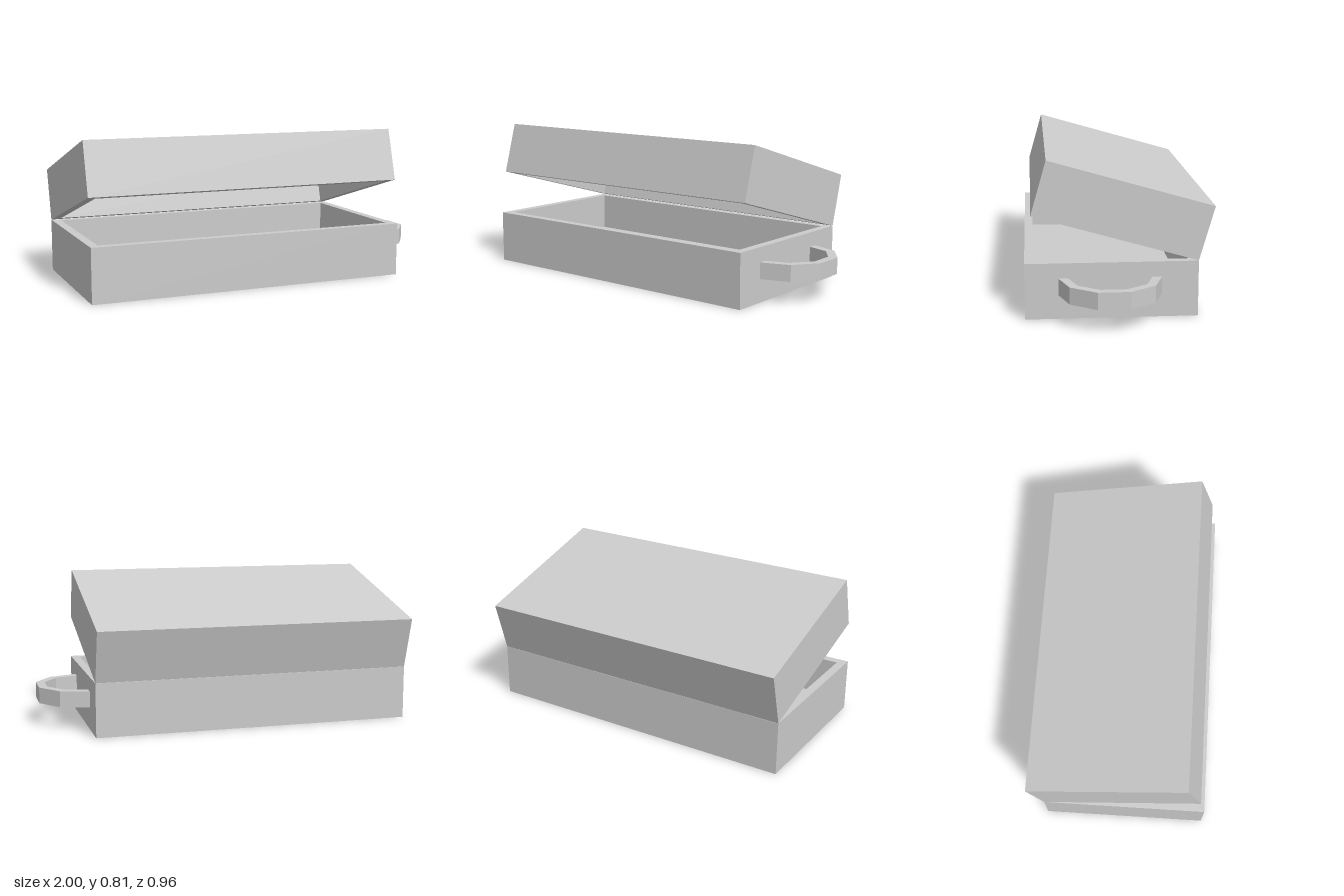
import * as THREE from 'three';

const W = 1.752, D = 0.88, H = 0.29, WALL = 0.047, FLOOR = 0.078;
const material = new THREE.MeshStandardMaterial({ color: 0xcccccc, flatShading: true });

// Open-topped tray: rectangular loops run up the outside, over the rim and down to the floor
function trayGeometry() {
  const corners = [[1, 1], [1, -1], [-1, -1], [-1, 1]];
  const loops = [[0, 0], [0, H], [WALL, H], [WALL, FLOOR]]; // [inset, height]
  const positions = [];
  for (const [inset, y] of loops) {
    for (const [sx, sz] of corners) {
      positions.push(sx * (W / 2 - inset), y, sz * (D / 2 - inset));
    }
  }
  const index = [0, 2, 1, 0, 3, 2]; // underside
  for (let i = 0; i < loops.length - 1; i++) {
    for (let j = 0; j < 4; j++) {
      const a = i * 4 + j, b = i * 4 + (j + 1) % 4;
      index.push(a, b, b + 4, a, b + 4, a + 4);
    }
  }
  const f = (loops.length - 1) * 4;
  index.push(f, f + 1, f + 2, f, f + 2, f + 3); // inner floor
  const g = new THREE.BufferGeometry();
  g.setAttribute('position', new THREE.Float32BufferAttribute(positions, 3));
  g.setIndex(index);
  const flat = g.toNonIndexed();
  flat.computeVertexNormals();
  return flat;
}

// Half of a ten-sided ring, lying flat
function handleGeometry(outer, inner, height) {
  const points = [];
  const arc = (r, dir) => {
    for (let i = 0; i <= 5; i++) {
      const a = dir * (-Math.PI / 2 + i * Math.PI / 5);
      points.push(new THREE.Vector2(r * Math.cos(a), r * Math.sin(a)));
    }
  };
  arc(outer, 1);
  arc(inner, -1);
  const g = new THREE.ExtrudeGeometry(new THREE.Shape(points), { depth: height, bevelEnabled: false });
  return g.rotateX(Math.PI / 2);
}

function part(name, geometry) {
  const mesh = new THREE.Mesh(geometry, material);
  mesh.name = name;
  return mesh;
}

export function createModel() {
  const model = new THREE.Group();
  model.name = 'hingedBox';
  const centreX = -1 + W / 2;

  // Base tray
  const base = part('base', trayGeometry());
  base.position.set(centreX, 0, 0.04);

  // Lid: the same tray upside down, swung open about the back edge
  const hinge = new THREE.Group();
  hinge.name = 'lidHinge';
  hinge.position.set(centreX, H + 0.001, 0.04 - D / 2);
  hinge.rotation.x = THREE.MathUtils.degToRad(-16);
  const lid = part('lid', trayGeometry());
  lid.rotation.x = Math.PI;
  lid.position.set(0, H, D / 2);
  hinge.add(lid);

  // Side handle
  const handle = part('handle', handleGeometry(0.262, 0.213, 0.087));
  handle.position.set(0.751, 0.211, 0.048);

  model.add(base, hinge, handle);
  return model;
}
